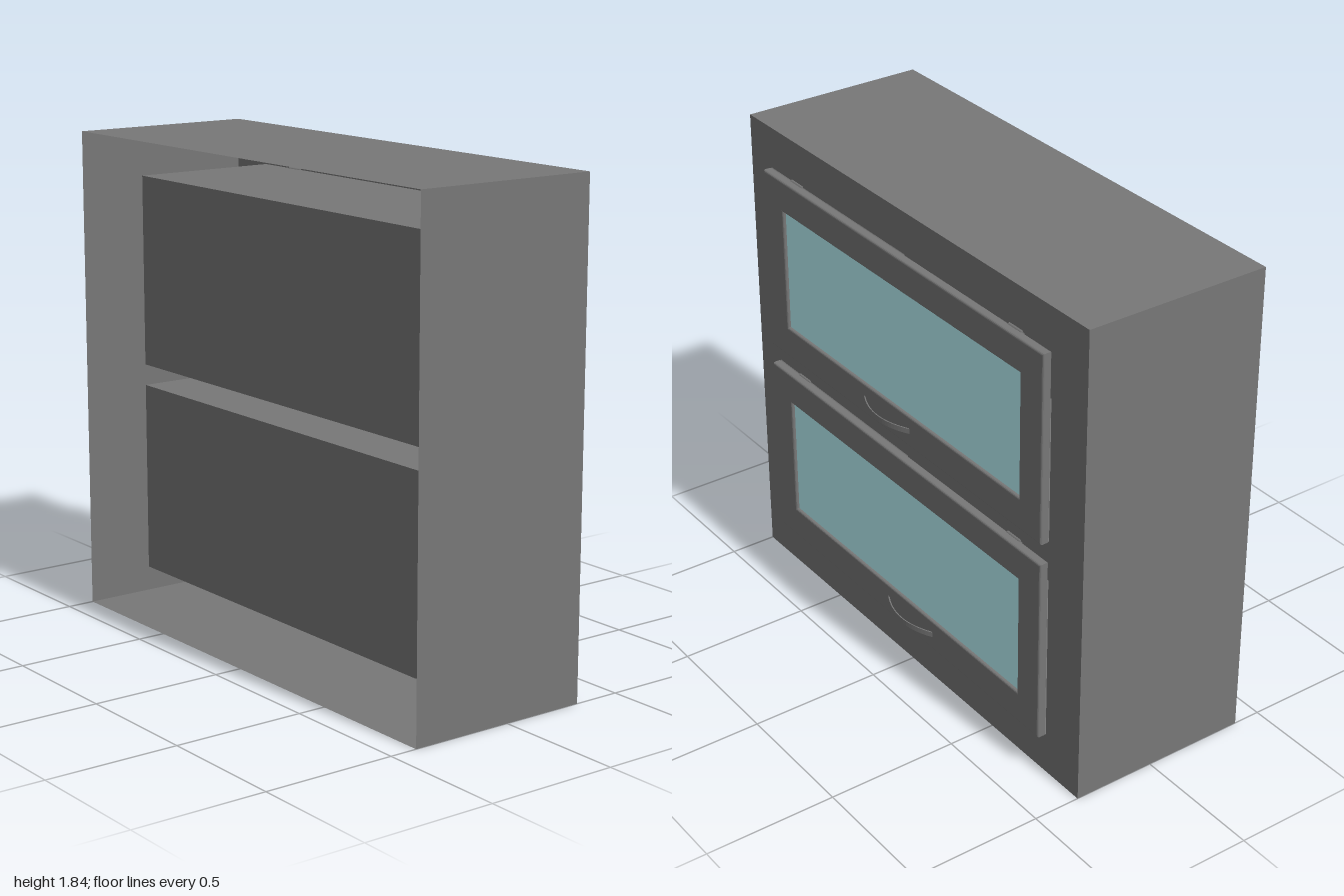
import * as THREE from 'three';

const grey = new THREE.MeshStandardMaterial({ color: 0x777777, side: THREE.DoubleSide });
const glassMat = new THREE.MeshStandardMaterial({ color: 0xbaf4f9, side: THREE.DoubleSide });

// Cabinet extents, doors face -z
const H = 1.84, FACE = -0.32, REAR = 0.395;
const X0 = -0.815, X1 = 0.864, DOOR_W = X1 - X0, DOOR_H = 0.72, DOOR_X = (X0 + X1) / 2;
const RAIL = 0.123, DOOR_T = 0.035;
const doors = [
  { name: 'lower', y: 0.161, handleX: -0.036 },
  { name: 'upper', y: 0.961, handleX: 0.09 },
];

function add(parent, name, geometry, material = grey, x = 0, y = 0, z = 0) {
  const mesh = new THREE.Mesh(geometry, material);
  mesh.name = name;
  mesh.position.set(x, y, z);
  parent.add(mesh);
}

function rectangle(Type, x0, y0, x1, y1) {
  return new Type([[x0, y0], [x1, y0], [x1, y1], [x0, y1]].map(p => new THREE.Vector2(...p)));
}

// Thin-walled box with some sides left out (order: +x -x +y -y +z -z)
function openBox(w, h, d, skip) {
  const g = new THREE.BoxGeometry(w, h, d);
  const index = Array.from(g.index.array);
  g.setIndex(index.filter((_, i) => !skip.includes(Math.floor(i / 6))));
  g.clearGroups();
  return g;
}

// Bowed strip handle, its ends touching the door
function handleGeometry() {
  const outer = new THREE.QuadraticBezierCurve(
    new THREE.Vector2(-0.144, 0), new THREE.Vector2(0, 0.08), new THREE.Vector2(0.144, 0)).getPoints(20);
  const inner = outer.map(p => new THREE.Vector2(p.x * 0.98, p.y - 0.004)).reverse();
  const g = new THREE.ExtrudeGeometry(new THREE.Shape([...outer, ...inner]), { depth: 0.02, bevelEnabled: false });
  return g.translate(0, 0, -0.01).rotateX(-Math.PI / 2);
}

function makeDoor({ name, y, handleX }) {
  const door = new THREE.Group();
  door.name = name + 'Door';
  door.position.set(DOOR_X, y + DOOR_H / 2, FACE);

  // Frame with softened edges around the pane
  const b = 0.007, w = DOOR_W / 2, h = DOOR_H / 2;
  const shape = rectangle(THREE.Shape, -w + b, -h + b, w - b, h - b);
  shape.holes.push(rectangle(THREE.Path, -w + RAIL - b, -h + RAIL - b, w - RAIL + b, h - RAIL + b));
  const frame = new THREE.ExtrudeGeometry(shape, {
    depth: DOOR_T - 2 * b, bevelThickness: b, bevelSize: b, bevelSegments: 3,
  });
  add(door, 'doorFrame', frame, grey, 0, 0, -DOOR_T + b);
  add(door, 'glassPane', new THREE.BoxGeometry(DOOR_W - 2 * RAIL + 0.02, DOOR_H - 2 * RAIL + 0.02, 0.006),
    glassMat, 0, 0, -0.02);
  add(door, 'handle', handleGeometry(), grey, handleX - DOOR_X, -h + 0.064, -DOOR_T);

  // Hinge barrels along the top edge
  for (const x of [-0.624, 0.688]) {
    const barrel = new THREE.CylinderGeometry(0.008, 0.008, 0.072, 12).rotateZ(Math.PI / 2);
    add(door, 'hinge', barrel, grey, x - DOOR_X, h - 0.003, 0);
  }
  return door;
}

export function createModel() {
  const model = new THREE.Group();
  model.name = 'wallCabinet';

  // Outer shell, open on the +z side
  const depth = REAR - FACE;
  add(model, 'cabinetShell', openBox(2, H, depth, [4, 5]), grey, 0, H / 2, (REAR + FACE) / 2);

  // Face panel with an opening behind each door
  const panel = rectangle(THREE.Shape, -1, 0, 1, H);
  for (const d of doors) panel.holes.push(rectangle(THREE.Path, X0, d.y, X1, d.y + DOOR_H));
  add(model, 'facePanel', new THREE.ShapeGeometry(panel), grey, 0, 0, FACE);

  // Compartments and their doors
  const compartmentDepth = 0.57;
  for (const d of doors) {
    add(model, d.name + 'Compartment', openBox(DOOR_W, DOOR_H, compartmentDepth, [5]), grey,
      DOOR_X, d.y + DOOR_H / 2, FACE + compartmentDepth / 2);
    model.add(makeDoor(d));
  }
  return model;
}
